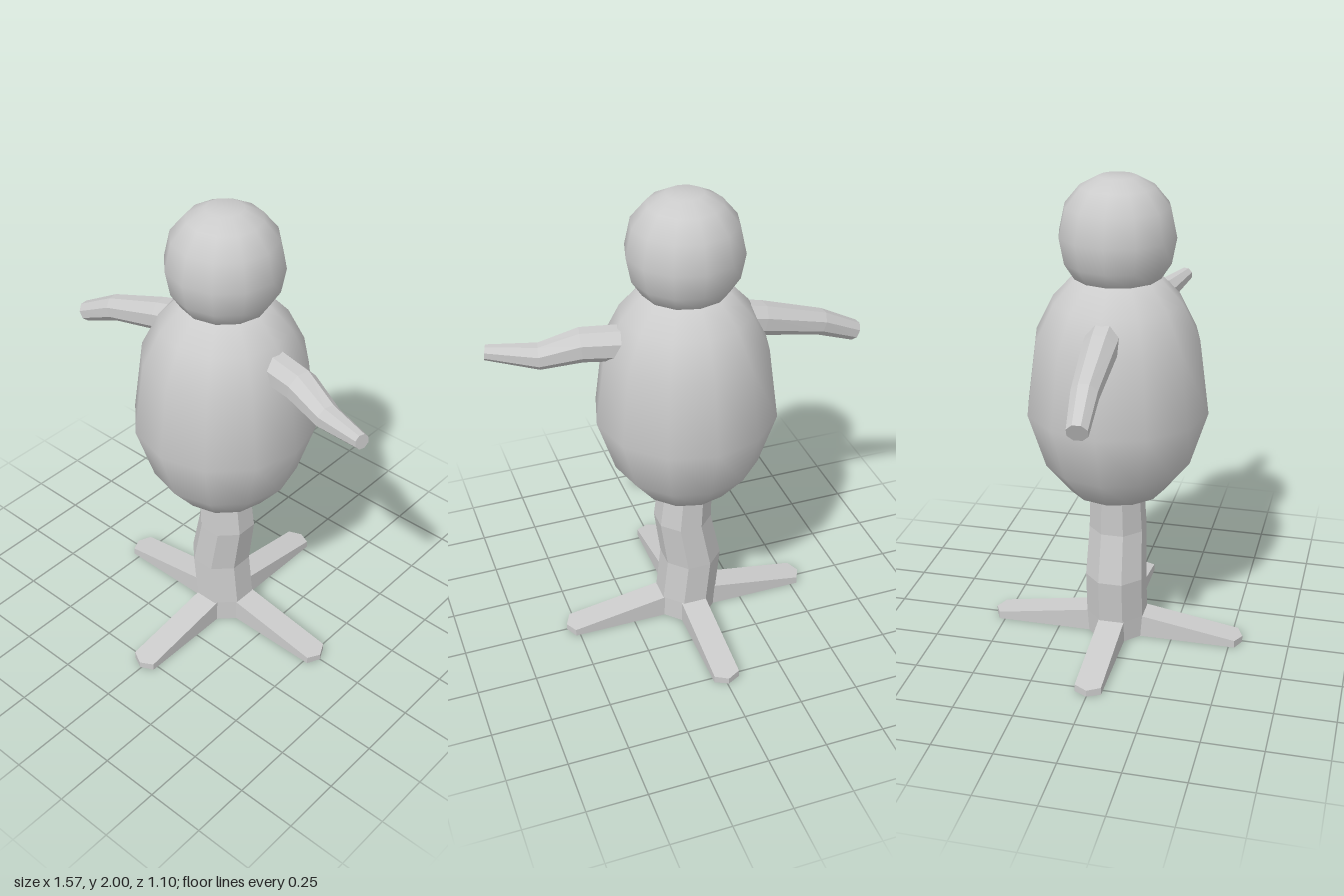
import * as THREE from 'three';

const smooth = new THREE.MeshStandardMaterial({ color: 0xcccccc });
const faceted = new THREE.MeshStandardMaterial({ color: 0xcccccc, flatShading: true });

const UP = new THREE.Vector3(0, 1, 0);

function addMesh(group, name, geometry, material) {
  const mesh = new THREE.Mesh(geometry, material);
  mesh.name = name;
  group.add(mesh);
  return mesh;
}

// Bent, capped eight-sided limb; each station is [x, y, z, radius].
// A fixed axis keeps all rings parallel, otherwise they follow the path.
function limb(stations, axis) {
  const sides = 8;
  const centres = stations.map(([x, y, z]) => new THREE.Vector3(x, y, z));
  const last = centres.length - 1;
  const pos = [];
  const index = [];
  centres.forEach((c, i) => {
    const t = axis ? axis.clone()
      : centres[Math.min(i + 1, last)].clone().sub(centres[Math.max(i - 1, 0)]).normalize();
    const u = axis ? new THREE.Vector3(1, 0, 0) : new THREE.Vector3().crossVectors(t, UP).normalize();
    const v = new THREE.Vector3().crossVectors(t, u);
    for (let j = 0; j < sides; j++) {
      const a = ((j + 0.5) / sides) * Math.PI * 2;
      const p = c.clone()
        .addScaledVector(u, Math.cos(a) * stations[i][3])
        .addScaledVector(v, Math.sin(a) * stations[i][3]);
      pos.push(p.x, p.y, p.z);
    }
  });
  const startCentre = pos.length / 3;
  pos.push(...centres[0].toArray(), ...centres[last].toArray());
  for (let j = 0; j < sides; j++) {
    const k = (j + 1) % sides;
    for (let i = 0; i < last; i++) {
      const a = i * sides + j, b = i * sides + k;
      index.push(a, b, b + sides, a, b + sides, a + sides);
    }
    index.push(startCentre, k, j);
    index.push(startCentre + 1, last * sides + j, last * sides + k);
  }
  const g = new THREE.BufferGeometry();
  g.setAttribute('position', new THREE.Float32BufferAttribute(pos, 3));
  g.setIndex(index);
  const flat = g.toNonIndexed();
  flat.computeVertexNormals();
  return flat;
}

// Twelve-sided smooth foliage volume from a [radius, y] profile
function foliage(profile) {
  return new THREE.LatheGeometry(profile.map(([r, y]) => new THREE.Vector2(r, y)), 12);
}

// Wedge-shaped root with a pointed tip, sloping down along +x
function rootGeometry() {
  const w = 0.055;
  const plan = new THREE.Shape([
    new THREE.Vector2(0, -w), new THREE.Vector2(0.525, -w), new THREE.Vector2(0.552, 0),
    new THREE.Vector2(0.525, w), new THREE.Vector2(0, w),
  ]);
  const g = new THREE.ExtrudeGeometry(plan, { depth: 0.1, bevelEnabled: false });
  g.rotateX(-Math.PI / 2);
  const p = g.attributes.position;
  for (let i = 0; i < p.count; i++) {
    if (p.getY(i) > 0.05) p.setY(i, 0.118 - 0.163 * p.getX(i));
  }
  g.computeVertexNormals();
  return g;
}

export function createModel() {
  const model = new THREE.Group();
  model.name = 'tree';

  // Crooked trunk
  addMesh(model, 'trunk', limb([
    [-0.005, 0, 0, 0.13], [-0.01, 0.1, 0, 0.132], [-0.03, 0.29, 0, 0.131],
    [0.006, 0.5, 0, 0.123], [-0.01, 0.7, 0, 0.113], [-0.01, 0.8, 0, 0.11],
  ], UP), faceted);

  // Four roots in a cross
  const roots = new THREE.Group();
  roots.name = 'roots';
  roots.position.x = -0.006;
  const rootGeo = rootGeometry();
  for (let i = 0; i < 4; i++) {
    addMesh(roots, 'root', rootGeo, faceted).rotation.y = (i * Math.PI) / 2;
  }
  model.add(roots);

  // Large lower crown
  addMesh(model, 'lowerCrown', foliage([
    [0, 0.69], [0.2, 0.69], [0.305, 0.82], [0.378, 1.05],
    [0.337, 1.36], [0.265, 1.505], [0.175, 1.602], [0, 1.64],
  ]), smooth).position.x = -0.008;

  // Small round upper crown
  addMesh(model, 'upperCrown', foliage([
    [0, 1.54], [0.08, 1.54], [0.175, 1.6], [0.217, 1.665], [0.237, 1.77],
    [0.212, 1.885], [0.15, 1.96], [0.075, 2], [0, 2],
  ]), smooth).position.x = -0.006;

  // Side branches
  addMesh(model, 'leftBranch', limb([
    [0.15, 1.405, -0.02, 0.075], [0.41, 1.41, 0.035, 0.07],
    [0.57, 1.368, 0.075, 0.054], [0.77, 1.392, 0.135, 0.031],
  ]), faceted);
  addMesh(model, 'rightBranch', limb([
    [-0.15, 1.445, 0, 0.075], [-0.33, 1.405, 0.007, 0.07],
    [-0.6, 1.33, 0.018, 0.055], [-0.768, 1.25, 0.033, 0.043],
  ]), faceted);

  return model;
}
